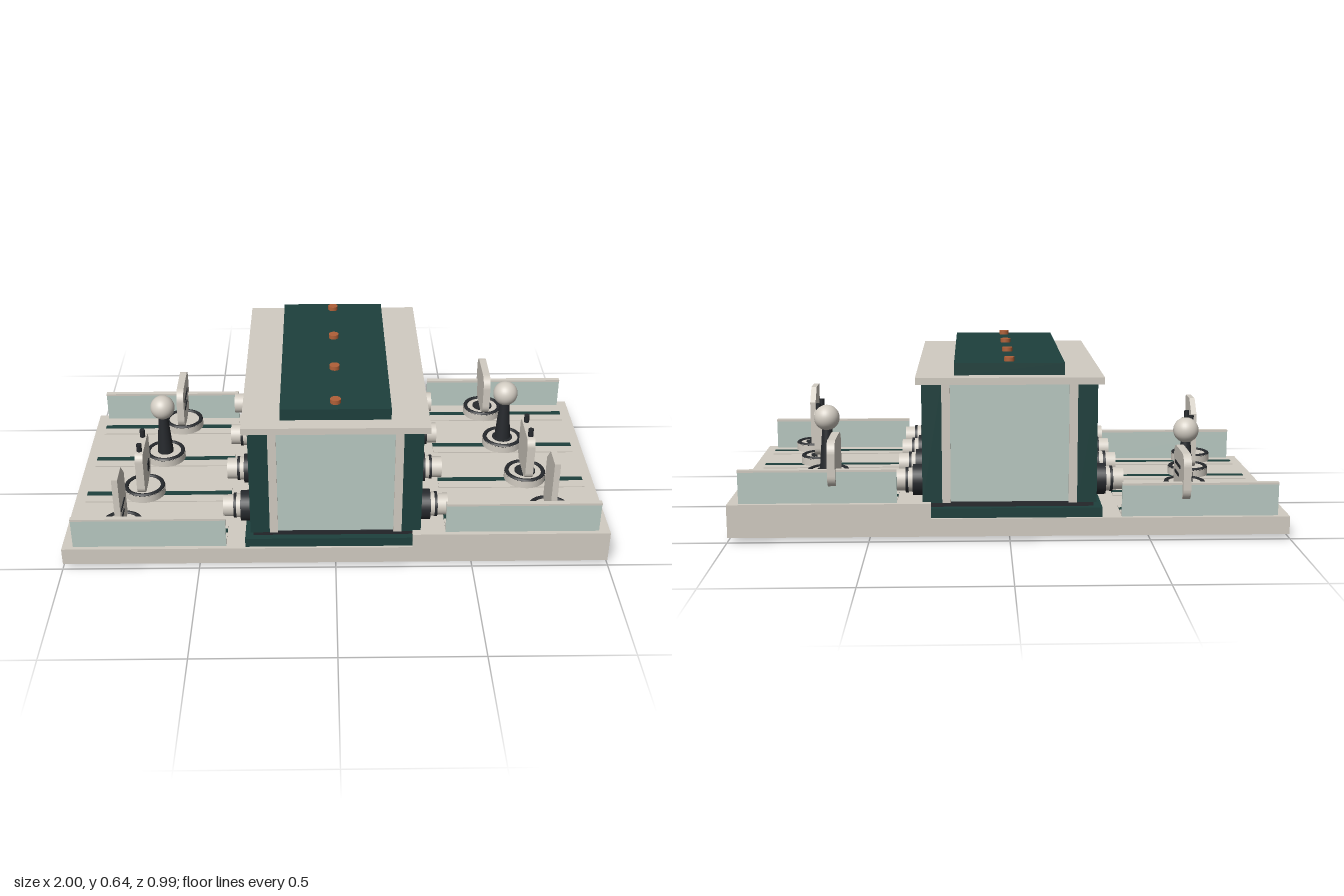
import * as THREE from 'three';

const mat = (color) => new THREE.MeshStandardMaterial({ color });

export function createModel() {
  const model = new THREE.Group();
  const beige = mat(0xd2ccc2), green = mat(0x1d403d), dark = mat(0x26292d);
  const glass = mat(0xb9c9c2), copper = mat(0xb06038);

  const add = (parent, name, geometry, material, x = 0, y = 0, z = 0) => {
    const mesh = new THREE.Mesh(geometry, material);
    mesh.name = name;
    mesh.position.set(x, y, z);
    parent.add(mesh);
    return mesh;
  };
  // Box given by its limits along each axis
  const box = (parent, name, material, x0, x1, y0, y1, z0, z1) =>
    add(parent, name, new THREE.BoxGeometry(x1 - x0, y1 - y0, z1 - z0), material,
      (x0 + x1) / 2, (y0 + y1) / 2, (z0 + z1) / 2);
  // Upright cylinder standing on y0
  const disc = (parent, name, material, r0, r1, y0, y1, x = 0, z = 0) =>
    add(parent, name, new THREE.CylinderGeometry(r1, r0, y1 - y0, 32), material, x, (y0 + y1) / 2, z);

  // Shape drawn in (-z, y), extruded along x and centred on it
  const plate = (parent, name, shape, thickness) => {
    const g = new THREE.ExtrudeGeometry(shape, { depth: thickness, bevelEnabled: false, curveSegments: 8 });
    g.translate(0, 0, -thickness / 2).rotateY(Math.PI / 2);
    return add(parent, name, g, beige);
  };
  const roundedShape = (w, y0, y1, r) => {
    const s = new THREE.Shape();
    s.absarc(w - r, y0 + r, r, -Math.PI / 2, 0);
    s.absarc(w - r, y1 - r, r, 0, Math.PI / 2);
    s.absarc(-w + r, y1 - r, r, Math.PI / 2, Math.PI);
    s.absarc(-w + r, y0 + r, r, Math.PI, Math.PI * 1.5);
    s.closePath();
    return s;
  };
  // Dark inlay on the +x face of a plate
  const inlay = (parent, face, z0, z1, y, h) =>
    box(parent, 'inlay', dark, face - 0.002, face + 0.003, y - h / 2, y + h / 2, z0, z1);

  // Base: foot, low tray and the taller deck on the left side
  box(model, 'foot', dark, -0.94, 0.94, 0, 0.02, -0.43, 0.43);
  box(model, 'lowDeck', beige, -1, 0.281, 0.015, 0.08, -0.49, 0.49);
  box(model, 'highDeck', beige, 0.28, 1, 0.015, 0.135, -0.49, 0.49);

  // Central housing
  box(model, 'plinth', green, -0.33, 0.33, 0.078, 0.115, -0.48, 0.48);
  box(model, 'shadowGap', dark, -0.3, 0.3, 0.113, 0.132, -0.455, 0.455);
  box(model, 'core', green, -0.25, 0.25, 0.13, 0.565, -0.44, 0.44);
  for (const s of [-1, 1]) {
    box(model, 'sideWall', green, s * 0.275 - 0.035, s * 0.275 + 0.035, 0.13, 0.562, -0.46, 0.46);
    box(model, 'endPanel', glass, -0.21, 0.21, 0.133, 0.562, s * 0.445 - 0.008, s * 0.445 + 0.008);
    for (const t of [-1, 1])
      box(model, 'endPost', beige, t * 0.225 - 0.015, t * 0.225 + 0.015, 0.13, 0.562, s * 0.448 - 0.014, s * 0.448 + 0.014);
  }
  box(model, 'roof', beige, -0.33, 0.33, 0.56, 0.585, -0.49, 0.49);
  box(model, 'lid', green, -0.195, 0.195, 0.584, 0.628, -0.432, 0.432);

  // The four kinds of sliding token, measured up from the deck
  const tokens = {
    chamferedToken(g) {
      const s = new THREE.Shape();
      [[-0.075, 0.04], [0.07, 0.04], [0.07, 0.22], [0.015, 0.277], [-0.075, 0.277]]
        .forEach(([u, y], i) => (i ? s.lineTo(u, y) : s.moveTo(u, y)));
      s.closePath();
      plate(g, 'chamferedPlate', s, 0.022);
      inlay(g, 0.011, -0.025, 0.06, 0.137, 0.009);
      inlay(g, 0.011, 0, 0.06, 0.105, 0.009);
    },
    peggedToken(g) {
      box(g, 'neck', beige, -0.012, 0.012, 0.04, 0.065, -0.04, 0.04);
      plate(g, 'squarePlate', roundedShape(0.093, 0.058, 0.23, 0.03), 0.03);
      for (const z of [-0.053, 0.053]) disc(g, 'peg', dark, 0.01, 0.01, 0.22, 0.26, 0, z);
      inlay(g, 0.015, -0.047, -0.009, 0.117, 0.038);
    },
    ballToken(g) {
      disc(g, 'stem', dark, 0.032, 0.018, 0.04, 0.21);
      add(g, 'ball', new THREE.SphereGeometry(0.048, 32, 20), beige, 0, 0.243, 0);
    },
    roundedToken(g) {
      box(g, 'neck', beige, -0.012, 0.012, 0.04, 0.065, -0.04, 0.04);
      plate(g, 'roundedPlate', roundedShape(0.112, 0.056, 0.225, 0.045), 0.028);
      inlay(g, 0.014, -0.04, 0.073, 0.165, 0.011);
      inlay(g, 0.014, -0.005, 0.073, 0.13, 0.011);
    },
  };
  const rows = [
    { z: 0.383, x: 0.788, kind: 'chamferedToken' },
    { z: 0.128, x: 0.735, kind: 'peggedToken' },
    { z: -0.128, x: 0.68, kind: 'ballToken' },
    { z: -0.383, x: 0.628, kind: 'roundedToken' },
  ];

  // Stepped side connector, turned around its axis
  const connectorProfile = (pts) => new THREE.LatheGeometry(pts.map(([r, y]) => new THREE.Vector2(r, y)), 32);
  const connector = (side, z) => {
    const g = new THREE.Group();
    g.name = 'connector';
    const parts = [
      ['flange', dark, 0.056, 0, 0.038], ['collar', beige, 0.044, 0.038, 0.054],
      ['seal', dark, 0.046, 0.054, 0.064], ['cap', beige, 0.04, 0.064, 0.102],
    ];
    for (const [name, m, r, a, b] of parts) {
      const mesh = add(g, name, connectorProfile([[0, a], [r, a], [r, a], [r, b], [r, b], [0, b]]).toNonIndexed(), m);
      mesh.geometry = new THREE.CylinderGeometry(r, r, b - a, 32).translate(0, (a + b) / 2, 0);
    }
    g.rotation.z = -side * Math.PI / 2;
    g.position.set(side * 0.308, 0.198, z);
    model.add(g);
  };

  for (const { z, x, kind } of rows) {
    disc(model, 'lidStud', copper, 0.019, 0.019, 0.625, 0.643, 0, z);
    for (const side of [-1, 1]) {
      const deckY = side > 0 ? 0.135 : 0.08;
      connector(side, z);
      // Rail with its inlaid track
      const cx = side * 0.68;
      box(model, 'rail', beige, cx - 0.28, cx + 0.28, deckY - 0.004, deckY + 0.004, z - 0.055, z + 0.055);
      box(model, 'track', green, cx - 0.28, cx + 0.28, deckY - 0.004, deckY + 0.006, z - 0.012, z + 0.012);
      // Token on its round slider
      const token = new THREE.Group();
      token.name = kind;
      token.position.set(side * x, deckY, z);
      disc(token, 'sliderFoot', beige, 0.052, 0.052, 0, 0.014);
      disc(token, 'sliderDisc', beige, 0.079, 0.079, 0.012, 0.042);
      add(token, 'sliderRing', new THREE.TorusGeometry(0.07, 0.009, 8, 40).rotateX(Math.PI / 2), dark, 0, 0.04, 0);
      if (side > 0) disc(token, 'sliderHub', dark, 0.04, 0.04, 0.04, 0.046);
      tokens[kind](token);
      model.add(token);
    }
  }

  // Guard screens along the deck edges
  for (const side of [-1, 1]) for (const end of [-1, 1]) {
    const y = side > 0 ? 0.135 : 0.08, cx = side * 0.68, cz = end * 0.467;
    box(model, 'guardScreen', glass, cx - 0.28, cx + 0.28, y - 0.002, y + 0.116, cz - 0.006, cz + 0.006);
    box(model, 'guardCap', beige, cx - 0.28, cx + 0.28, y + 0.114, y + 0.122, cz - 0.01, cz + 0.01);
  }
  return model;
}
